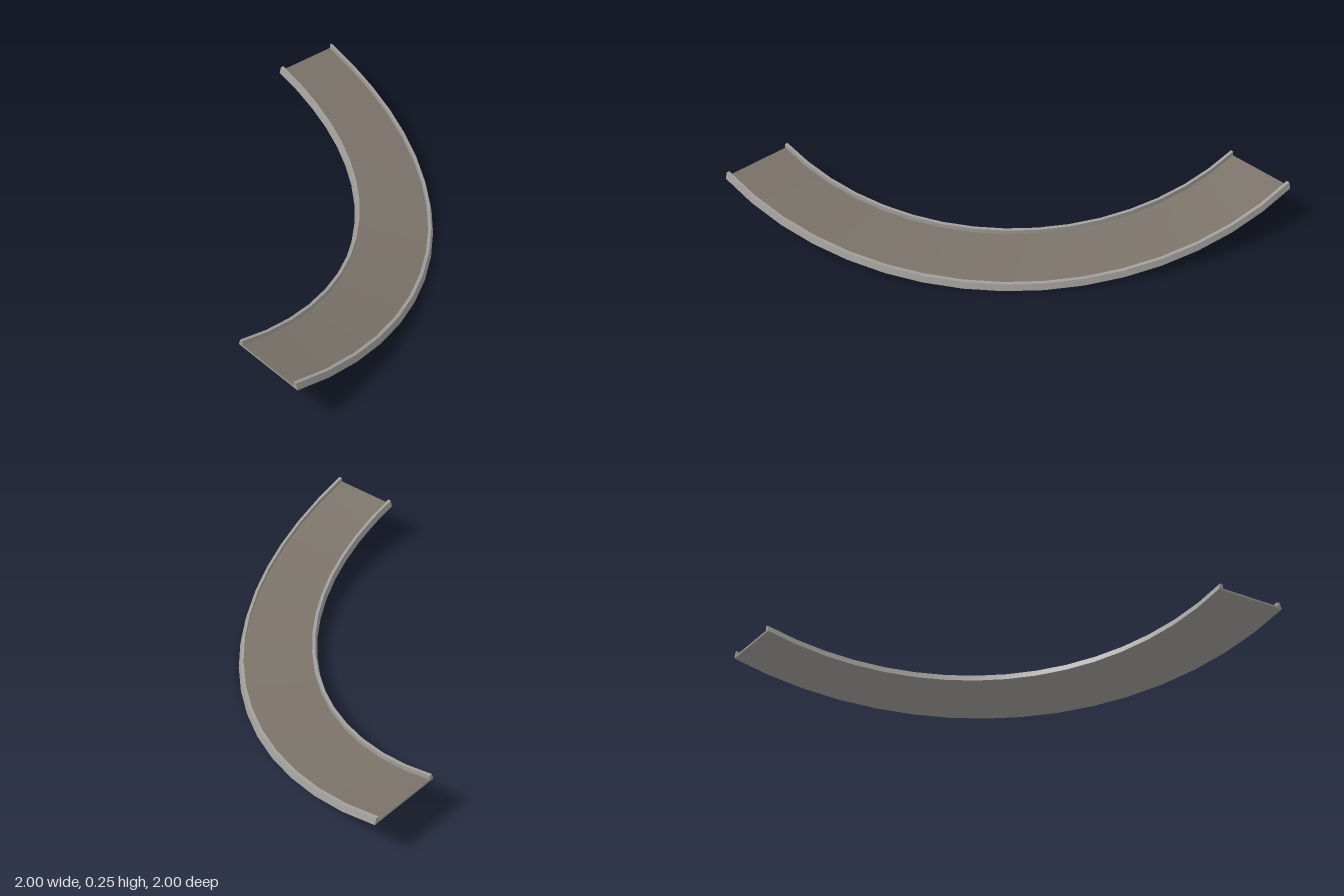
import * as THREE from 'three';
import { toCreasedNormals } from 'three/addons/utils/BufferGeometryUtils.js';

const SEGMENTS = 16;

// Channel section as [radius, height], anticlockwise from the inner foot
const PROFILE = [
  [1.6, 0.212], [2.0, 0.212], [1.99, 0.245], [1.974, 0.245],
  [1.974, 0.222], [1.626, 0.222], [1.626, 0.245], [1.61, 0.245],
];
const DECK_EDGE = 4; // profile edge that forms the running surface

// Point of the sagging quarter ring; the sag grows with the radius
function place([r, y], step) {
  const t = step / SEGMENTS;
  const angle = t * Math.PI / 2;
  const depth = 0.165 + (r - 1.6) / 0.4 * 0.047;
  const sag = depth * (1 - (2 * t - 1) ** 2);
  return [-1 + r * Math.cos(angle), y - sag, 1 - r * Math.sin(angle)];
}

// Sweep chosen profile edges along the bend, optionally closing both ends
function sweep(edges, capped) {
  const pos = [];
  const tri = (...points) => points.forEach((p) => pos.push(...p));
  for (let i = 0; i < SEGMENTS; i++) {
    for (const e of edges) {
      const p = PROFILE[e], q = PROFILE[(e + 1) % PROFILE.length];
      const a = place(p, i), b = place(q, i);
      const c = place(q, i + 1), d = place(p, i + 1);
      tri(a, d, c);
      tri(a, c, b);
    }
  }
  if (capped) {
    const outline = PROFILE.map(([r, y]) => new THREE.Vector2(r, y));
    for (const [a, b, c] of THREE.ShapeUtils.triangulateShape(outline, [])) {
      tri(...[a, b, c].map((k) => place(PROFILE[k], 0)));
      tri(...[c, b, a].map((k) => place(PROFILE[k], SEGMENTS)));
    }
  }
  const geometry = new THREE.BufferGeometry();
  geometry.setAttribute('position', new THREE.Float32BufferAttribute(pos, 3));
  return toCreasedNormals(geometry, Math.PI / 6);
}

export function createModel() {
  const group = new THREE.Group();
  group.name = 'curvedTrack';

  const curbGrey = new THREE.MeshStandardMaterial({ color: 0xa09d9a });
  curbGrey.name = 'curbGrey';
  const deckBrown = new THREE.MeshStandardMaterial({ color: 0x7a7269 });
  deckBrown.name = 'deckBrown';

  // Underside, both curbs and the end faces
  const bodyEdges = PROFILE.map((_, i) => i).filter((i) => i !== DECK_EDGE);
  const body = new THREE.Mesh(sweep(bodyEdges, true), curbGrey);
  body.name = 'curbsAndUnderside';

  // Running surface between the curbs
  const deck = new THREE.Mesh(sweep([DECK_EDGE], false), deckBrown);
  deck.name = 'deck';

  group.add(body, deck);
  return group;
}
